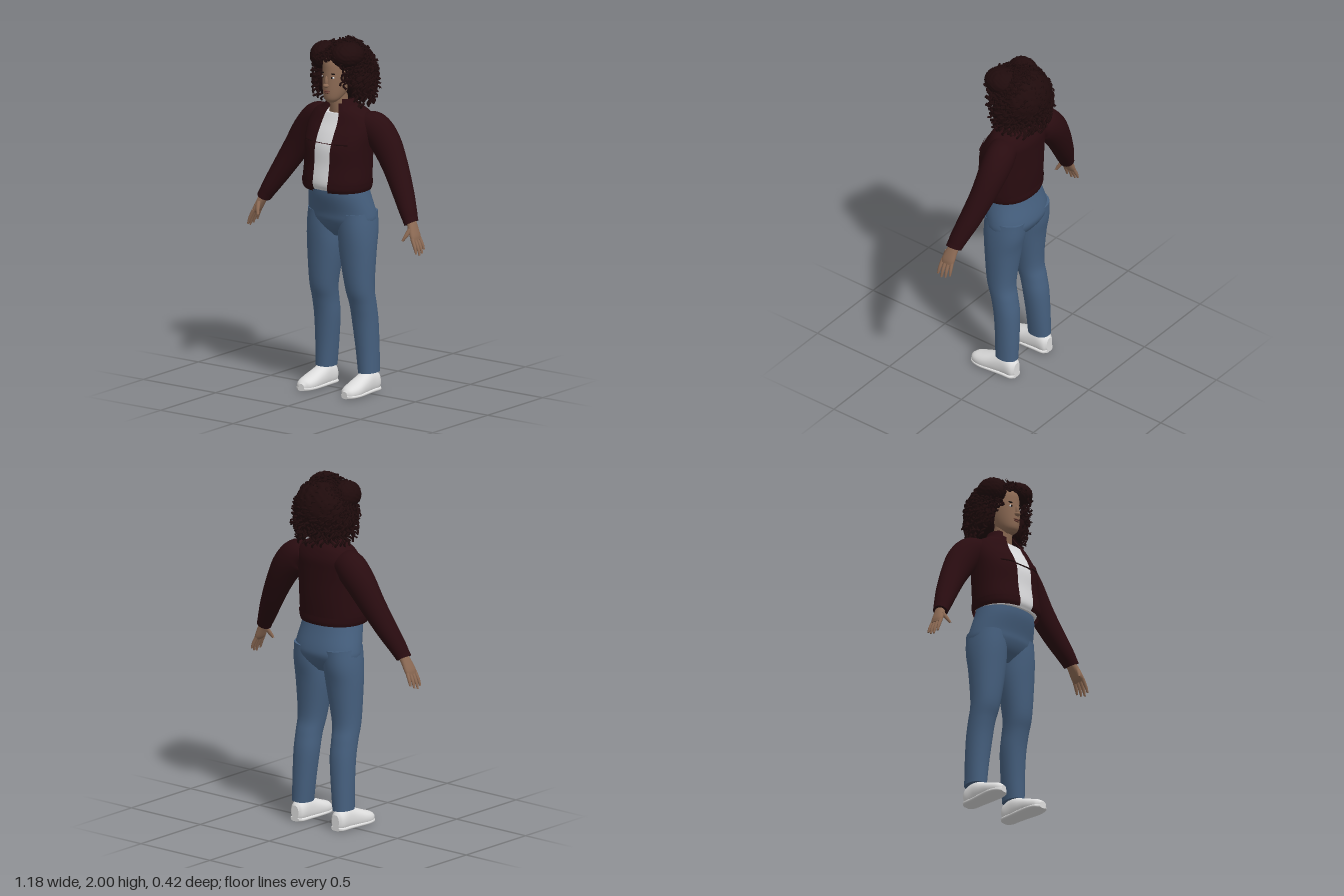
import * as THREE from 'three';
import { mergeGeometries } from 'three/addons/utils/BufferGeometryUtils.js';

const mat = (name, color, side = THREE.FrontSide) => {
  const m = new THREE.MeshStandardMaterial({ color, side });
  m.name = name;
  return m;
};

// Smooth loft through sections [x, y, z, radius across, radius in z].
// An arc [from, to] in degrees leaves the tube open (90 is the front).
function loft(sections, { sides = 28, steps = 5, power = 0.9, arc = null } = {}) {
  const V = (x, y, z) => new THREE.Vector3(x, y, z);
  const path = new THREE.CatmullRomCurve3(sections.map(s => V(s[0], s[1], s[2])), false, 'catmullrom');
  const radii = new THREE.CatmullRomCurve3(sections.map(s => V(s[3], s[4], 0)), false, 'catmullrom');
  const rows = (sections.length - 1) * steps;
  const cols = arc ? sides + 1 : sides;
  const pos = [], index = [];
  const sp = v => Math.sign(v) * Math.abs(v) ** power;
  for (let j = 0; j <= rows; j++) {
    const c = path.getPoint(j / rows), r = radii.getPoint(j / rows);
    const t = path.getTangent(j / rows).setZ(0).normalize();
    for (let i = 0; i < cols; i++) {
      const deg = arc ? arc[0] + (arc[1] - arc[0]) * i / sides : 360 * i / sides;
      const a = deg * Math.PI / 180, u = sp(Math.cos(a)) * r.x;
      pos.push(c.x + t.y * u, c.y - t.x * u, c.z + sp(Math.sin(a)) * r.y);
    }
  }
  for (let j = 0; j < rows; j++) for (let i = 0; i < sides; i++) {
    const a = j * cols + i, b = j * cols + (i + 1) % cols;
    index.push(a, a + cols, b, b, a + cols, b + cols);
  }
  // end caps with their own corners, so the rims stay crisp
  if (!arc) for (const row of [0, rows]) {
    const c = path.getPoint(row / rows), base = pos.length / 3;
    pos.push(c.x, c.y, c.z);
    for (let i = 0; i < cols; i++) pos.push(...pos.slice((row * cols + i) * 3, (row * cols + i) * 3 + 3));
    for (let i = 0; i < cols; i++) {
      const p = base + 1 + i, q = base + 1 + (i + 1) % cols;
      if (row) index.push(base, q, p); else index.push(base, p, q);
    }
  }
  const g = new THREE.BufferGeometry();
  g.setAttribute('position', new THREE.Float32BufferAttribute(pos, 3));
  g.setIndex(index);
  g.computeVertexNormals();
  return g;
}

// Ellipsoid with a bumpy, curly surface
function bumpy(x, y, z, rx, ry, rz) {
  const g = new THREE.SphereGeometry(1, 48, 32), p = g.attributes.position;
  for (let i = 0; i < p.count; i++) {
    const a = p.getX(i), b = p.getY(i), c = p.getZ(i);
    const k = 1 + 0.05 * Math.sin(17 * a + 3) * Math.sin(19 * b) * Math.sin(15 * c + 1);
    p.setXYZ(i, x + a * rx * k, y + b * ry * k, z + c * rz * k);
  }
  g.computeVertexNormals();
  return g;
}

// Corkscrew curls growing out of the scalp and drooping
function curls(count) {
  let seed = 7;
  const rnd = () => (seed = (seed * 16807) % 2147483647) / 2147483647;
  const out = [];
  for (let n = 0; n < count; n++) {
    const y = 1 - 1.6 * (n + 0.5) / count, s = Math.sqrt(1 - y * y), a = n * 2.39996;
    const x = s * Math.cos(a), z = s * Math.sin(a);
    const face = z > 0.15 && ((y < 0.55 && Math.abs(x + 0.05) < 0.5) || (y < -0.1 && Math.abs(x) < 0.75));
    if (face) continue;
    const fringe = z > 0 && y > 0.35 ? 0.05 * z : 0;
    const part = y > 0.8 && Math.abs(x + 0.28) < 0.15 ? 0.025 : 0;
    const root = new THREE.Vector3(x * 0.14, 1.83 + y * 0.115, z * 0.12 - 0.03 + fringe);
    const k = 0.94 + 0.1 * rnd();
    const tip = new THREE.Vector3(x * 0.188 * k, 1.825 + y * 0.165 * k - part - 0.075 * (1 - y), z * 0.18 * k - 0.02 + fringe);
    const dir = tip.clone().sub(root).normalize();
    const e1 = new THREE.Vector3(0.3, 0.2, 1).cross(dir).normalize(), e2 = dir.clone().cross(e1);
    const phase = rnd() * 6.28, pts = [];
    for (let i = 0; i <= 14; i++) {
      const t = i / 14, w = phase + t * 15, r = 0.011;
      pts.push(root.clone().lerp(tip, t).addScaledVector(e1, r * Math.cos(w)).addScaledVector(e2, r * Math.sin(w)));
    }
    out.push(new THREE.TubeGeometry(new THREE.CatmullRomCurve3(pts), 26, 0.0065, 4));
  }
  return mergeGeometries(out);
}

export function createModel() {
  const model = new THREE.Group();
  model.name = 'woman';
  const skin = mat('skin', 0x8c6a54), lip = mat('lips', 0x6e4238), dark = mat('dark eyes', 0x1c1210);
  const hair = mat('dark hair', 0x1f0b0c);
  const jacket = mat('maroon jacket', 0x290c10, THREE.DoubleSide);
  const denim = mat('blue denim', 0x46607f);
  const white = mat('white shirt', 0xd8d8da), shoe = mat('white shoe', 0xdedede);
  const add = (name, geometry, material, parent = model) => {
    const m = new THREE.Mesh(geometry, material);
    m.name = name;
    parent.add(m);
    return m;
  };
  const ball = (name, material, x, y, z, a, b, c, parent) =>
    add(name, new THREE.SphereGeometry(1, 16, 12).scale(a, b, c).translate(x, y, z), material, parent);

  // Head and face
  const head = new THREE.Group();
  head.name = 'head';
  head.position.x = -0.008;
  model.add(head);
  add('face', loft([[0, 1.645, 0.092, 0.022, 0.025], [0, 1.665, 0.082, 0.044, 0.052], [0, 1.7, 0.06, 0.06, 0.08],
    [0, 1.76, 0.04, 0.072, 0.1], [0, 1.82, 0.03, 0.077, 0.107], [0, 1.88, 0.02, 0.073, 0.108],
    [0, 1.93, 0, 0.055, 0.08], [0, 1.95, 0, 0.02, 0.03]], { power: 1 }), skin, head);
  add('neck', loft([[0, 1.55, 0.01, 0.068, 0.06], [0, 1.61, 0.025, 0.054, 0.054], [0, 1.7, 0.035, 0.05, 0.055]], { power: 1 }), skin, head);
  ball('noseBridge', skin, 0, 1.768, 0.139, 0.009, 0.03, 0.014, head);
  ball('noseTip', skin, 0, 1.745, 0.144, 0.017, 0.012, 0.018, head);
  ball('upperLip', lip, 0, 1.713, 0.138, 0.022, 0.005, 0.009, head);
  ball('lowerLip', lip, 0, 1.704, 0.135, 0.019, 0.006, 0.01, head);
  for (const s of [1, -1]) {
    ball('eyeWhite', white, s * 0.03, 1.79, 0.126, 0.014, 0.007, 0.006, head);
    ball('iris', dark, s * 0.03, 1.79, 0.13, 0.006, 0.006, 0.004, head);
    ball('brow', dark, s * 0.032, 1.812, 0.127, 0.019, 0.004, 0.006, head);
  }

  // Hair: bumpy volume, two fringe lobes and many curls
  const hairdo = new THREE.Group();
  hairdo.name = 'hair';
  model.add(hairdo);
  add('hairVolume', bumpy(0, 1.805, -0.065, 0.165, 0.16, 0.125), hair, hairdo);
  add('leftFringe', bumpy(0.068, 1.91, 0.05, 0.09, 0.07, 0.1), hair, hairdo);
  add('rightFringe', bumpy(-0.1, 1.885, 0.035, 0.075, 0.08, 0.09), hair, hairdo);
  for (const s of [1, -1]) add('sideHair', bumpy(s * 0.12, 1.76, -0.01, 0.055, 0.11, 0.075), hair, hairdo);
  add('curls', curls(430), hair, hairdo);

  // Shirt and open jacket
  const torso = [[0, 1.16, 0.045, 0.185, 0.152], [0, 1.2, 0.05, 0.197, 0.162], [0, 1.3, 0.04, 0.197, 0.158],
    [0, 1.4, 0.035, 0.2, 0.155], [0, 1.47, 0.02, 0.205, 0.142], [0, 1.53, 0.002, 0.2, 0.125],
    [0, 1.58, -0.003, 0.17, 0.105], [0, 1.61, -0.003, 0.12, 0.087], [0, 1.635, 0.002, 0.08, 0.07]];
  const grow = (list, d) => list.map(([x, y, z, a, b]) => [x, y, z, a + d, b + d]);
  add('shirt', loft(grow(torso.slice(0, 7), -0.012)), white);
  const open = [103, 437];
  add('jacketBody', loft(torso, { sides: 44, arc: open }), jacket);
  add('jacketHem', loft([[0, 1.155, 0.048, 0.19, 0.16], [0, 1.175, 0.05, 0.198, 0.167], [0, 1.205, 0.05, 0.203, 0.167]],
    { sides: 44, arc: open }), jacket);
  add('collar', loft([[0, 1.6, 0.008, 0.125, 0.095], [0, 1.625, 0.01, 0.095, 0.08], [0, 1.66, 0.005, 0.073, 0.068]],
    { arc: [122, 418] }), jacket);
  for (const [name, arc] of [['leftPocketFlap', [48, 72]], ['rightPocketFlap', [108, 132]]])
    add(name, loft([[0, 1.425, 0.031, 0.208, 0.158], [0, 1.475, 0.019, 0.21, 0.147]], { sides: 8, arc }), jacket);

  // Hips of the jeans
  add('jeansHips', loft([[0, 0.88, 0, 0.1, 0.06], [0, 0.93, 0, 0.185, 0.105], [0, 0.98, 0, 0.205, 0.131],
    [0, 1.03, 0.006, 0.202, 0.135], [0, 1.12, 0.03, 0.184, 0.137], [0, 1.19, 0.04, 0.17, 0.132]]), denim);

  for (const s of [1, -1]) {
    const side = s > 0 ? 'left' : 'right';
    const m = list => list.map(([x, ...rest]) => [s * x, ...rest]);

    // Leg, slightly bent at the knee
    add(side + 'JeansLeg', loft(m([[0.1, 1.02, 0, 0.1, 0.122], [0.107, 0.92, 0.003, 0.103, 0.117],
      [0.111, 0.8, 0.01, 0.1, 0.1], [0.124, 0.6, 0.01, 0.079, 0.08], [0.129, 0.5, -0.012, 0.072, 0.074],
      [0.131, 0.4, -0.03, 0.07, 0.072], [0.139, 0.25, -0.04, 0.062, 0.068], [0.147, 0.11, -0.043, 0.054, 0.066]])), denim);

    // Shoe, lofted from heel to toe and flattened underneath
    const sections = [[0.147, -0.112, -0.05, 0.025, 0.04], [0.147, -0.09, -0.052, 0.044, 0.058],
      [0.147, -0.03, -0.058, 0.047, 0.07], [0.149, 0.04, -0.045, 0.052, 0.058], [0.152, 0.11, -0.032, 0.055, 0.045],
      [0.152, 0.16, -0.026, 0.043, 0.033], [0.15, 0.184, -0.022, 0.018, 0.018]];
    const upper = loft(m(sections)).rotateX(Math.PI / 2), p = upper.attributes.position;
    for (let i = 0; i < p.count; i++) p.setY(i, Math.max(0.003, p.getY(i)));
    upper.computeVertexNormals();
    add(side + 'Shoe', upper, shoe);
    add(side + 'Sole', loft(m(sections.map(([x, z, , r]) => [x, z, -0.011, r + 0.003, 0.011])), { power: 0.6 })
      .rotateX(Math.PI / 2), shoe);

    // Sleeve and cuff
    add(side + 'Sleeve', loft(m([[0.13, 1.525, -0.02, 0.07, 0.08], [0.195, 1.5, -0.035, 0.092, 0.083],
      [0.265, 1.43, -0.038, 0.089, 0.08], [0.34, 1.315, -0.025, 0.075, 0.07], [0.42, 1.18, 0.005, 0.06, 0.062],
      [0.475, 1.085, 0.032, 0.048, 0.053], [0.505, 1.03, 0.045, 0.038, 0.045]]), { power: 1 }), jacket);
    add(side + 'Cuff', loft(m([[0.485, 1.067, 0.037, 0.043, 0.05], [0.508, 1.025, 0.047, 0.039, 0.046]]), { power: 1 }), jacket);

    // Hand with four fingers and a thumb
    const hand = new THREE.Group();
    hand.name = side + 'Hand';
    model.add(hand);
    add('palm', loft(m([[0.5, 1.045, 0.042, 0.024, 0.028], [0.523, 1.0, 0.052, 0.021, 0.036],
      [0.543, 0.958, 0.058, 0.018, 0.041], [0.554, 0.936, 0.06, 0.011, 0.036]])), skin, hand);
    [0.062, 0.078, 0.085, 0.074].forEach((len, k) => {
      const z = 0.029 + k * 0.021;
      add('finger', loft(m([[0.547, 0.95, z, 0.01, 0.011], [0.549 + len * 0.28, 0.94 - len * 0.5, z + 0.003 * (k - 1.5), 0.009, 0.0095],
        [0.55 + len * 0.42, 0.942 - len, z + 0.005 * (k - 1.5), 0.005, 0.006]]), { sides: 10, power: 1 }), skin, hand);
    });
    add('thumb', loft(m([[0.525, 1, 0.078, 0.014, 0.015], [0.513, 0.965, 0.1, 0.012, 0.012],
      [0.5, 0.935, 0.116, 0.006, 0.007]]), { sides: 10, power: 1 }), skin, hand);
  }
  return model;
}
